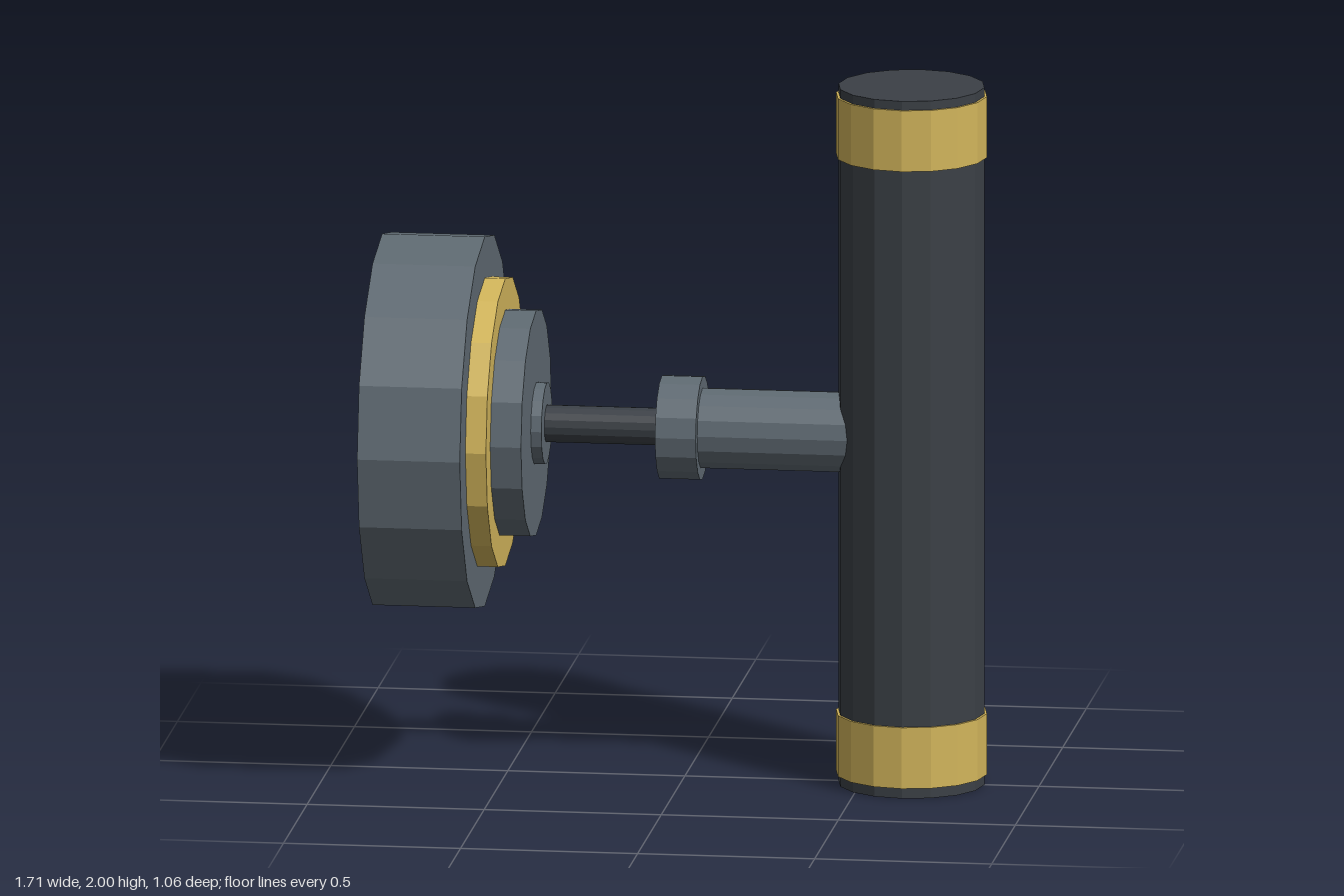
import * as THREE from 'three';

const mat = (name, color) => {
  const m = new THREE.MeshStandardMaterial({ color, flatShading: true });
  m.name = name;
  return m;
};

export function createModel() {
  const grey = mat('slate grey', 0x5f6a72);
  const dark = mat('charcoal', 0x3b4046);
  const gold = mat('brass', 0xd2b55b);
  const model = new THREE.Group();
  model.name = 'doorHandle';

  const cylinder = (name, material, radius, length) => {
    const mesh = new THREE.Mesh(new THREE.CylinderGeometry(radius, radius, length, 16), material);
    mesh.name = name;
    model.add(mesh);
    return mesh;
  };

  // Parts along the horizontal axis: name, material, radius, start x, end x
  const axle = [
    ['baseDisc', grey, 0.53, -0.855, -0.565],
    ['brassRing', gold, 0.412, -0.565, -0.507],
    ['innerDisc', grey, 0.322, -0.507, -0.42],
    ['boss', grey, 0.116, -0.42, -0.39],
    ['rod', dark, 0.053, -0.39, -0.065],
    ['collar', grey, 0.147, -0.065, 0.05],
    ['arm', grey, 0.114, 0.05, 0.6],
  ];
  for (const [name, material, radius, x0, x1] of axle) {
    const part = cylinder(name, material, radius, x1 - x0);
    part.rotation.z = -Math.PI / 2;
    part.position.set((x0 + x1) / 2, 1, 0);
  }

  // Upright grip with a brass band near each end
  cylinder('grip', dark, 0.206, 2).position.set(0.64, 1, 0);
  for (const [name, y] of [['lowerBand', 0.117], ['upperBand', 1.887]]) {
    cylinder(name, gold, 0.213, 0.175).position.set(0.64, y, 0);
  }

  return model;
}
